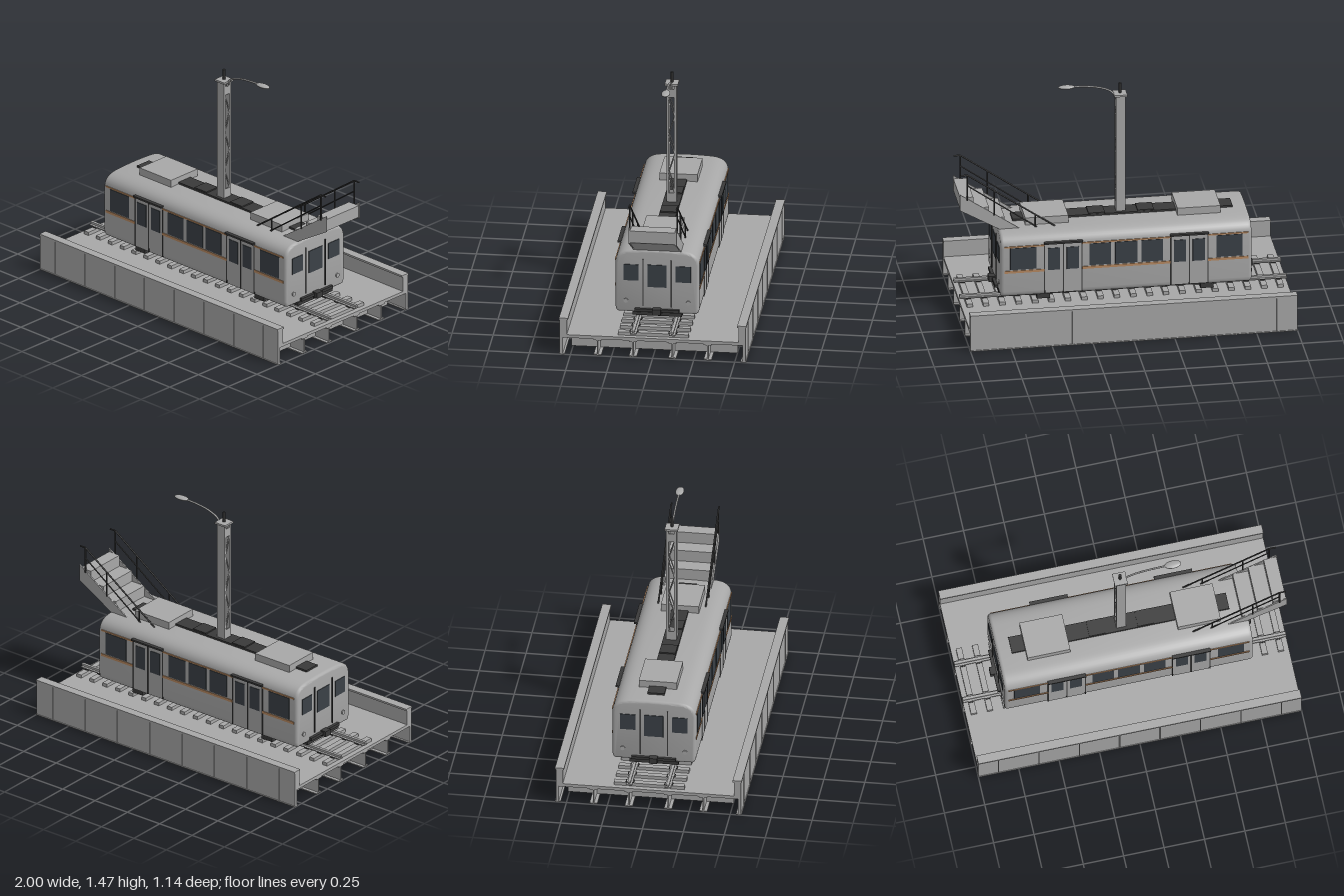
import * as THREE from 'three';
import { toCreasedNormals } from 'three/addons/utils/BufferGeometryUtils.js';

const mat = (name, color) => {
  const m = new THREE.MeshStandardMaterial({ color });
  m.name = name;
  return m;
};

export function createModel() {
  const grey = mat('grey', 0xa8a8a8);
  const glass = mat('dark glass', 0x3b4147);
  const dark = mat('dark trim', 0x3a3a3a);
  const orange = mat('orange stripe', 0xb88a62);
  const root = new THREE.Group();
  root.name = 'railCarOnBridge';

  const group = (name) => {
    const g = new THREE.Group();
    g.name = name;
    root.add(g);
    return g;
  };
  const add = (parent, name, geo, m) => {
    const mesh = new THREE.Mesh(geo, m);
    mesh.name = name;
    parent.add(mesh);
    return mesh;
  };
  // Box given by its min and max on each axis
  const box = (parent, name, m, x0, x1, y0, y1, z0, z1) => {
    const mesh = add(parent, name, new THREE.BoxGeometry(x1 - x0, y1 - y0, z1 - z0), m);
    mesh.position.set((x0 + x1) / 2, (y0 + y1) / 2, (z0 + z1) / 2);
    return mesh;
  };
  // Round bar between two points
  const bar = (parent, name, m, a, b, r, sides = 8) => {
    const p = new THREE.Vector3(...a), q = new THREE.Vector3(...b);
    const mesh = add(parent, name, new THREE.CylinderGeometry(r, r, p.distanceTo(q), sides), m);
    mesh.position.copy(p).lerp(q, 0.5);
    mesh.quaternion.setFromUnitVectors(new THREE.Vector3(0, 1, 0), q.sub(p).normalize());
    return mesh;
  };
  // Box with its z range mirrored to the given side
  const sideBox = (parent, name, m, s, x0, x1, y0, y1, z0, z1) =>
    box(parent, name, m, x0, x1, y0, y1, Math.min(s * z0, s * z1), Math.max(s * z0, s * z1));

  // Bridge: deck, side girders, beams and cross plates
  const bridge = group('bridge');
  box(bridge, 'deck', grey, -1, 1, 0.11, 0.13, -0.55, 0.55);
  for (const s of [-1, 1]) {
    sideBox(bridge, 'girderWeb', grey, s, -1, 1, 0, 0.235, 0.547, 0.565);
    sideBox(bridge, 'parapet', grey, s, -1, 1, 0.13, 0.225, 0.522, 0.547);
    sideBox(bridge, 'girderCap', grey, s, -1, 1, 0.225, 0.237, 0.515, 0.57);
    sideBox(bridge, 'girderFoot', grey, s, -1, 1, 0, 0.006, 0.535, 0.57);
    for (let i = 0; i < 8; i++) {
      const x = -0.875 + i * 0.25;
      sideBox(bridge, 'girderSeam', grey, s, x - 0.003, x + 0.003, 0.006, 0.225, 0.565, 0.569);
    }
    for (const z of [0.12, 0.335]) {
      sideBox(bridge, 'beamWeb', grey, s, -1, 1, 0.01, 0.102, z - 0.004, z + 0.004);
      sideBox(bridge, 'beamTop', grey, s, -1, 1, 0.102, 0.11, z - 0.024, z + 0.024);
      sideBox(bridge, 'beamBottom', grey, s, -1, 1, 0.004, 0.011, z - 0.024, z + 0.024);
    }
  }
  for (let i = -2; i <= 2; i++) {
    box(bridge, 'crossPlate', grey, i * 0.44 - 0.006, i * 0.44 + 0.006, 0.012, 0.098, -0.506, 0.506);
  }

  // Track
  const track = group('track');
  for (let i = 0; i < 20; i++) {
    const x = -0.95 + i * 0.1;
    box(track, 'sleeper', grey, x - 0.018, x + 0.018, 0.13, 0.151, -0.215, 0.215);
    for (const z of [-0.118, 0.118]) {
      box(track, 'tiePlate', dark, x - 0.016, x + 0.016, 0.151, 0.156, z - 0.026, z + 0.026);
    }
  }
  for (const z of [-0.118, 0.118]) {
    box(track, 'railFoot', grey, -1, 1, 0.151, 0.157, z - 0.018, z + 0.018);
    box(track, 'railWeb', grey, -1, 1, 0.157, 0.167, z - 0.004, z + 0.004);
    box(track, 'railHead', grey, -1, 1, 0.167, 0.174, z - 0.009, z + 0.009);
  }

  // Car body: arched section drawn along x
  const car = group('railCar');
  const sec = new THREE.Shape();
  sec.moveTo(-0.235, 0.2);
  sec.lineTo(0.235, 0.2);
  sec.quadraticCurveTo(0.255, 0.205, 0.255, 0.24);
  sec.lineTo(0.255, 0.52);
  sec.bezierCurveTo(0.255, 0.575, 0.215, 0.603, 0.15, 0.606);
  sec.quadraticCurveTo(0, 0.616, -0.15, 0.606);
  sec.bezierCurveTo(-0.215, 0.603, -0.255, 0.575, -0.255, 0.52);
  sec.lineTo(-0.255, 0.24);
  sec.quadraticCurveTo(-0.255, 0.205, -0.235, 0.2);
  const bodyGeo = new THREE.ExtrudeGeometry(sec, {
    depth: 1.494, bevelThickness: 0.02, bevelSize: 0.016, bevelOffset: -0.016, bevelSegments: 3, curveSegments: 10,
  });
  bodyGeo.translate(0, 0, -0.747).rotateY(Math.PI / 2);
  add(car, 'carBody', toCreasedNormals(bodyGeo, 0.6), grey);

  // Side windows, doors and stripes
  const windows = [[-0.71, -0.55], [-0.225, -0.093], [-0.068, 0.068], [0.093, 0.225], [0.55, 0.71]];
  const stripes = [[-0.745, -0.5], [-0.27, 0.27], [0.5, 0.745]];
  for (const s of [-1, 1]) {
    for (const [a, b] of windows) sideBox(car, 'sideWindow', glass, s, a, b, 0.38, 0.523, 0.251, 0.258);
    for (const [a, b] of stripes) {
      sideBox(car, 'lowerStripe', orange, s, a, b, 0.358, 0.374, 0.251, 0.259);
      sideBox(car, 'upperStripe', orange, s, a, b, 0.526, 0.535, 0.25, 0.259);
    }
    for (const c of [-0.385, 0.385]) {
      for (const d of [-1, 1]) {
        const x = c + d * 0.0575;
        sideBox(car, 'doorLeaf', grey, s, x - 0.053, x + 0.053, 0.212, 0.538, 0.25, 0.256);
        sideBox(car, 'doorWindow', glass, s, x - 0.037, x + 0.037, 0.365, 0.51, 0.251, 0.259);
      }
      for (const d of [-0.115, 0, 0.115]) {
        sideBox(car, 'doorGap', dark, s, c + d - 0.003, c + d + 0.003, 0.212, 0.54, 0.25, 0.258);
      }
      sideBox(car, 'doorHeader', dark, s, c - 0.118, c + 0.118, 0.54, 0.551, 0.24, 0.272);
    }
  }

  // Car ends, built facing +x and turned round for the other end
  for (const turn of [0, Math.PI]) {
    const end = new THREE.Group();
    end.name = 'carEnd';
    end.rotation.y = turn;
    car.add(end);
    box(end, 'endDoorWindow', glass, 0.764, 0.771, 0.37, 0.515, -0.058, 0.058);
    for (const s of [-1, 1]) {
      sideBox(end, 'endWindow', glass, s, 0.764, 0.771, 0.408, 0.512, 0.112, 0.205);
      sideBox(end, 'endDoorEdge', dark, s, 0.764, 0.774, 0.245, 0.55, 0.082, 0.087);
      bar(end, 'endLamp', grey, [0.762, 0.275, s * 0.19], [0.774, 0.275, s * 0.19], 0.014, 16);
    }
    box(end, 'bufferBeam', dark, 0.76, 0.786, 0.212, 0.23, -0.135, 0.135);
    box(end, 'coupler', dark, 0.76, 0.806, 0.2, 0.236, -0.025, 0.025);

    // Wheel set frame
    box(end, 'bogieFrame', dark, 0.34, 0.66, 0.178, 0.2, -0.1, 0.1);
    box(end, 'underGear', dark, 0.68, 0.765, 0.182, 0.202, -0.15, 0.15);
    for (const s of [-1, 1]) {
      sideBox(end, 'bogieSide', dark, s, 0.32, 0.68, 0.18, 0.2, 0.15, 0.18);
      sideBox(end, 'axleBox', dark, s, 0.46, 0.54, 0.158, 0.2, 0.17, 0.212);
      for (const x of [0.4, 0.6]) {
        bar(end, 'wheel', dark, [x, 0.206, s * 0.105], [x, 0.206, s * 0.135], 0.034, 20);
      }
    }
    for (const x of [0.4, 0.6]) bar(end, 'axle', dark, [x, 0.19, -0.15], [x, 0.19, 0.15], 0.01);

    // Roof units
    box(end, 'roofUnit', grey, 0.333, 0.597, 0.6, 0.655, -0.116, 0.116);
    box(end, 'roofVent', dark, 0.1, 0.2, 0.61, 0.63, -0.05, 0.05);
  }
  box(car, 'roofWalkway', dark, -0.68, 0.665, 0.605, 0.622, -0.052, 0.052);

  // Lattice mast
  const mast = group('mast');
  for (const s of [-1, 1]) {
    sideBox(mast, 'mastPlate', grey, s, -0.029, 0.029, 0.61, 1.385, 0.017, 0.031);
    for (const [a, b] of [[0.61, 0.68], [1.305, 1.36]]) {
      box(mast, 'batten', grey, s * 0.026 - 0.003, s * 0.026 + 0.003, a, b, -0.03, 0.03);
    }
    for (let i = 0; i < 5; i++) {
      const y = 0.68 + i * 0.125, d = i % 2 ? 1 : -1;
      bar(mast, 'lacing', grey, [s * 0.025, y, d * 0.02], [s * 0.025, y + 0.125, -d * 0.02], 0.004, 6);
    }
  }
  box(mast, 'mastCap', grey, -0.04, 0.04, 1.384, 1.396, -0.04, 0.04);
  bar(mast, 'topPost', dark, [0, 1.39, 0], [0, 1.462, 0], 0.008, 12);
  const armPath = new THREE.CatmullRomCurve3(
    [[0.025, 1.36], [0.05, 1.405], [0.12, 1.437], [0.21, 1.451], [0.3, 1.455]].map(([x, y]) => new THREE.Vector3(x, y, 0)));
  add(mast, 'lampArm', new THREE.TubeGeometry(armPath, 24, 0.006, 8), grey);
  const lamp = add(mast, 'lampHead', new THREE.SphereGeometry(1, 20, 12), grey);
  lamp.scale.set(0.052, 0.011, 0.026);
  lamp.position.set(0.327, 1.455, 0);

  // Staircase: stepped flight between two side plates
  const stairs = group('stairs');
  const plate = (name, pts, z0, z1) => {
    const shape = new THREE.Shape(pts.map((p) => new THREE.Vector2(...p)));
    const geo = new THREE.ExtrudeGeometry(shape, { depth: z1 - z0, bevelEnabled: false });
    add(stairs, name, geo.translate(0, 0, z0), grey);
  };
  const flight = [[0.76, 0.606], [0.998, 0.75], [0.998, 0.828]];
  for (let i = 3; i >= 0; i--) {
    const x = 0.63 + i * 0.096, y = 0.608 + i * 0.073;
    flight.push([x, y]);
    if (i > 0) flight.push([x, y - 0.073]);
  }
  flight[2][1] = 0.827;
  plate('steps', flight, -0.138, 0.138);
  for (const z of [-0.146, 0.138]) {
    plate('stringer', [[0.63, 0.6], [0.75, 0.6], [1, 0.745], [1, 0.85]], z, z + 0.008);
  }
  for (const s of [-1, 1]) {
    const z = s * 0.145;
    bar(stairs, 'topRail', dark, [0.42, 0.605, z], [0.955, 0.978, z], 0.005);
    bar(stairs, 'railEnd', dark, [0.955, 0.978, z], [0.995, 0.978, z], 0.005);
    bar(stairs, 'midRail', dark, [0.53, 0.605, z], [0.955, 0.908, z], 0.004);
    for (const [x, a, b] of [[0.54, 0.605, 0.688], [0.79, 0.7, 0.863], [0.955, 0.81, 0.978]]) {
      bar(stairs, 'railPost', dark, [x, a, z], [x, b, z], 0.005);
    }
  }
  return root;
}
